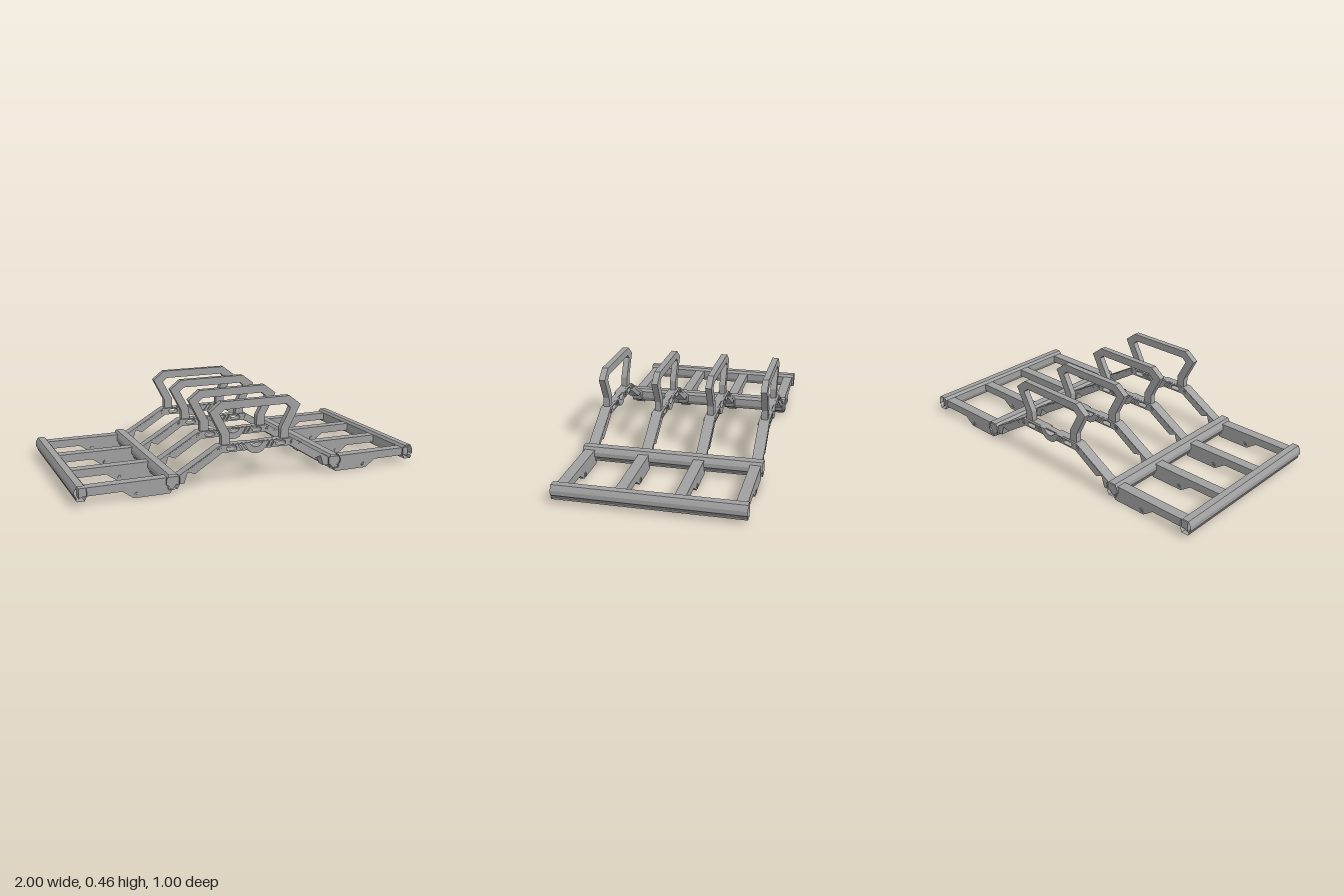
import * as THREE from 'three';

const grey = new THREE.MeshStandardMaterial({ color: 0xa0a0a0 });
grey.name = 'grey metal';
const greyOpen = new THREE.MeshStandardMaterial({ color: 0xa0a0a0, side: THREE.DoubleSide });
greyOpen.name = 'grey sheet';

const toPoints = (list) => list.map(([x, y]) => new THREE.Vector2(x, y));
const shapeOf = (list) => new THREE.Shape(toPoints(list));

// Completes a right-hand half outline with its mirror image
const mirrored = (half) => [...half, ...half.map(([x, y]) => [-x, y]).reverse()];

function addPart(parent, name, geometry, material = grey) {
  const mesh = new THREE.Mesh(geometry, material);
  mesh.name = name;
  parent.add(mesh);
  return mesh;
}

// Plate of the given depth centred on z
function plate(shape, depth, z = 0) {
  const g = new THREE.ExtrudeGeometry(shape, { depth, bevelEnabled: false, curveSegments: 10 });
  return g.translate(0, 0, z - depth / 2);
}

// Open-ended hollow rail running along z
function railGeometry(profile, length) {
  const pos = [];
  const h = length / 2;
  profile.forEach(([x0, y0], i) => {
    const [x1, y1] = profile[(i + 1) % profile.length];
    pos.push(x0, y0, h, x0, y0, -h, x1, y1, -h, x0, y0, h, x1, y1, -h, x1, y1, h);
  });
  const g = new THREE.BufferGeometry();
  g.setAttribute('position', new THREE.Float32BufferAttribute(pos, 3));
  g.computeVertexNormals();
  return g;
}

// Rounded lightening slot
function slotHole(cx, cy, halfLength, radius) {
  const p = new THREE.Path();
  p.absarc(cx + halfLength, cy, radius, -Math.PI / 2, Math.PI / 2, false);
  p.absarc(cx - halfLength, cy, radius, Math.PI / 2, Math.PI * 1.5, false);
  p.closePath();
  return p;
}

// Bridge with a dipped saddle in the middle and two sloping arms
function bridgeShape(withGrooves) {
  const half = [
    [0, 0.2], [0.018, 0.204], [0.032, 0.214], [0.038, 0.227], [0.215, 0.227],
    [0.45, 0.088], [0.45, 0.06], [0.41, 0.06], [0.395, 0.105], [0.355, 0.09], [0.2, 0.187],
    [0.05, 0.187], [0.035, 0.173], [0.015, 0.165],
  ];
  const outline = mirrored(half);
  outline.pop();
  const shape = shapeOf(outline);
  for (const s of [-1, 1]) {
    shape.holes.push(slotHole(s * 0.145, 0.207, 0.018, 0.012));
    if (!withGrooves) continue;
    for (const x of [0.055, 0.08]) {
      shape.holes.push(new THREE.Path(toPoints([
        [s * x, 0.194], [s * (x + 0.01), 0.194], [s * (x + 0.028), 0.221], [s * (x + 0.018), 0.221],
      ])));
    }
  }
  return shape;
}

function boss(parent, x, y, depth) {
  const washer = new THREE.CylinderGeometry(0.013, 0.013, depth, 16).rotateX(Math.PI / 2);
  addPart(parent, 'bolt', washer).position.set(x, y, 0);
  const pin = new THREE.CylinderGeometry(0.006, 0.006, depth + 0.005, 6).rotateX(Math.PI / 2);
  addPart(parent, 'boltPin', pin).position.set(x, y, 0);
}

function createRib() {
  const rib = new THREE.Group();
  rib.name = 'rib';

  // Bridge: solid core with grooved side skins
  addPart(rib, 'bridgeCore', plate(bridgeShape(false), 0.04));
  for (const s of [-1, 1]) {
    addPart(rib, 'bridgeSkin', plate(bridgeShape(true), 0.009, s * 0.0245));
    // Raised web on each sloping arm
    const web = shapeOf([[s * 0.25, 0.185], [s * 0.385, 0.105], [s * 0.4, 0.112], [s * 0.26, 0.195]]);
    addPart(rib, 'armWeb', plate(web, 0.061));
  }

  // Handle hoop
  const hoop = shapeOf(mirrored([[0.2, 0.22], [0.2, 0.28], [0.267, 0.41], [0.2, 0.462]]));
  hoop.holes.push(new THREE.Path(toPoints(mirrored(
    [[0.15, 0.228], [0.15, 0.285], [0.208, 0.395], [0.182, 0.418]]))));
  addPart(rib, 'handle', plate(hoop, 0.035));

  // Outer beams with a deep foot
  for (const s of [-1, 1]) {
    const beam = shapeOf([
      [0.975, 0.09], [0.975, 0.035], [0.955, 0.045], [0.75, 0.045], [0.69, 0.002], [0.495, 0.002],
      [0.46, 0.045], [0.415, 0.045], [0.398, 0.1], [0.43, 0.1], [0.45, 0.09],
    ].map(([x, y]) => [s * x, y]));
    addPart(rib, 'outerBeam', plate(beam, 0.058));
    boss(rib, s * 0.675, 0.02, 0.066);
    boss(rib, s * 0.215, 0.205, 0.066);
  }
  return rib;
}

export function createModel() {
  const model = new THREE.Group();
  model.name = 'ribbedFrame';

  // Four cross ribs
  for (const z of [-0.46, -0.153, 0.153, 0.46]) {
    const rib = createRib();
    rib.position.z = z;
    model.add(rib);
  }

  // Long rails: two at the outer edges, two at the feet of the bridge
  const profile = [
    [-0.02, 0.025], [0.02, 0.025], [0.025, 0.04], [0.017, 0.041], [0.032, 0.053], [0.032, 0.077],
    [0.026, 0.09], [0.018, 0.105], [-0.02, 0.105], [-0.032, 0.09], [-0.032, 0.05],
  ];
  for (const s of [-1, 1]) {
    for (const [x, scale, name] of [[0.968, 1, 'outerRail'], [0.48, 1.15, 'innerRail']]) {
      const points = profile.map(([u, y]) => [s * (x + u * scale), y]);
      if (s < 0) points.reverse();
      addPart(model, name, railGeometry(points, 1), greyOpen);
    }
  }
  return model;
}
